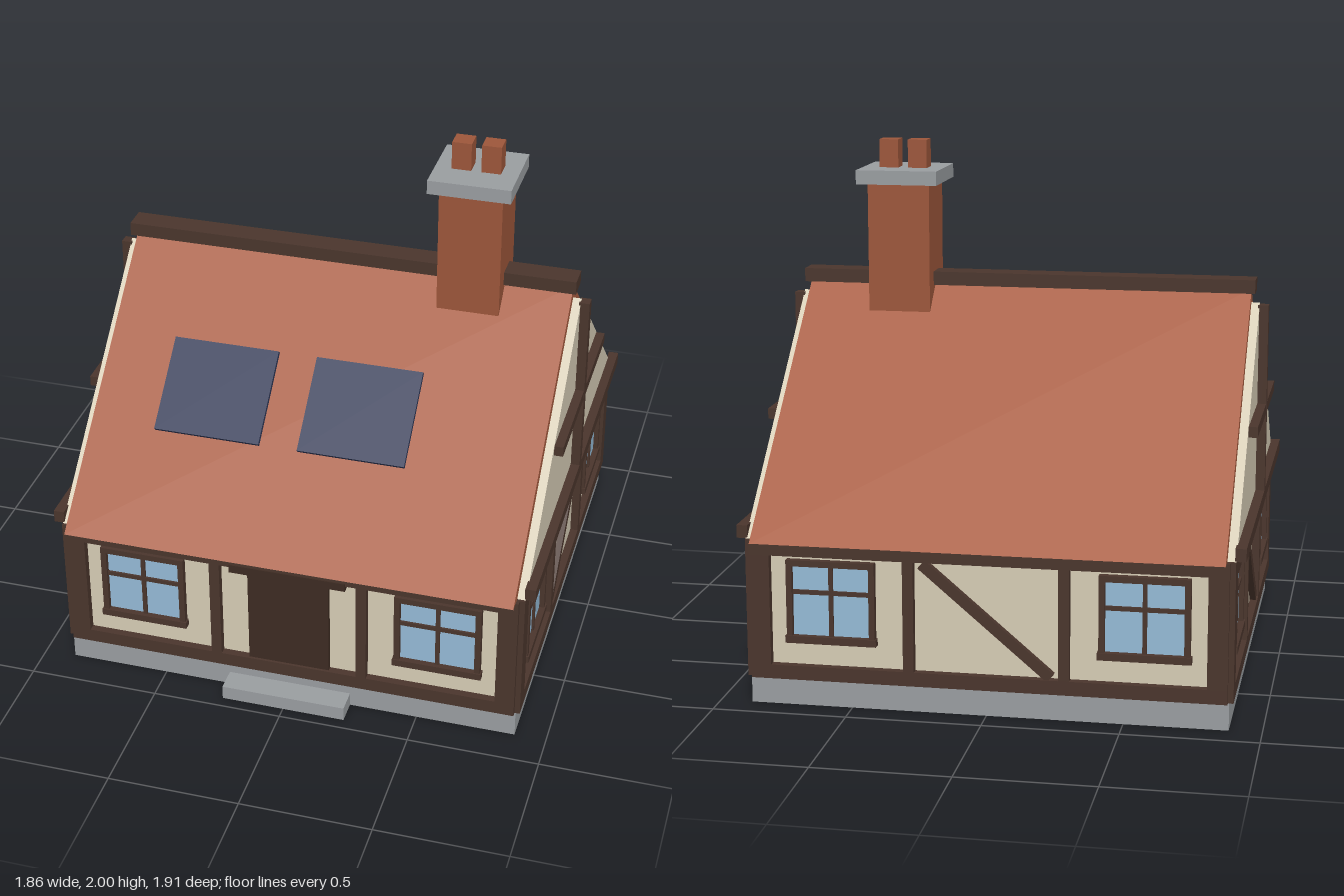
import * as THREE from 'three';

const mat = (name, color) => {
  const m = new THREE.MeshStandardMaterial({ color });
  m.name = name;
  return m;
};

export function createModel() {
  const plaster = mat('plaster', 0xd6ccb5);
  const timber = mat('timber', 0x4a352c);
  const doorWood = mat('door wood', 0x3d2b22);
  const tile = mat('roof tile', 0xa85d41);
  const brick = mat('brick', 0x9c563a);
  const stone = mat('stone', 0x999da0);
  const glass = mat('glass', 0x94bad6);
  const panel = mat('solar panel', 0x303857);

  const model = new THREE.Group();
  model.name = 'cottage';
  const house = new THREE.Group();
  house.name = 'house';
  house.position.z = -0.0175;
  model.add(house);

  // Box given by its low and high corners
  const box = (parent, name, material, [x0, x1], [y0, y1], [z0, z1]) => {
    const mesh = new THREE.Mesh(new THREE.BoxGeometry(x1 - x0, y1 - y0, z1 - z0), material);
    mesh.position.set((x0 + x1) / 2, (y0 + y1) / 2, (z0 + z1) / 2);
    mesh.name = name;
    parent.add(mesh);
    return mesh;
  };

  // Triangular prism along x
  const prism = (name, material, halfX, halfZ, base, apex) => {
    const s = new THREE.Shape();
    s.moveTo(-halfZ, base);
    s.lineTo(halfZ, base);
    s.lineTo(0, apex);
    const g = new THREE.ExtrudeGeometry(s, { depth: halfX * 2, bevelEnabled: false });
    g.translate(0, 0, -halfX);
    g.rotateY(Math.PI / 2);
    const mesh = new THREE.Mesh(g, material);
    mesh.name = name;
    house.add(mesh);
  };

  const W = 0.865; // half width of the walls
  const F = W + 0.03; // outer face of the timbers

  // Plinth, step and walls
  box(house, 'plinth', stone, [-0.88, 0.88], [0, 0.1], [-0.88, 0.88]);
  box(house, 'doorStep', stone, [-0.24, 0.24], [0, 0.055], [0.85, 0.9725]);
  box(house, 'walls', plaster, [-W, W], [0.1, 0.62], [-W, W]);

  // Window with sill, lintel and glazing bars
  const addWindow = (wall, cx) => {
    const g = new THREE.Group();
    g.name = 'window';
    g.position.x = cx;
    wall.add(g);
    box(g, 'pane', glass, [-0.15, 0.15], [0.25, 0.54], [W - 0.01, W + 0.006]);
    for (const s of [-1, 1])
      box(g, 'jamb', timber, [s * 0.154 - 0.011, s * 0.154 + 0.011], [0.26, 0.535], [W, W + 0.025]);
    box(g, 'sill', timber, [-0.17, 0.17], [0.24, 0.267], [W, W + 0.03]);
    box(g, 'head', timber, [-0.165, 0.165], [0.53, 0.553], [W, W + 0.025]);
    box(g, 'mullion', timber, [-0.008, 0.008], [0.265, 0.53], [W, W + 0.015]);
    box(g, 'transom', timber, [-0.145, 0.145], [0.423, 0.439], [W, W + 0.015]);
  };

  // Four framed walls: turn about y, and lean of the diagonal brace (0 = door)
  const walls = [
    ['frontWall', 0, 0], ['rightWall', Math.PI / 2, 1],
    ['backWall', Math.PI, -1], ['leftWall', -Math.PI / 2, -1],
  ];
  for (const [name, turn, lean] of walls) {
    const wall = new THREE.Group();
    wall.name = name;
    wall.rotation.y = turn;
    house.add(wall);
    box(wall, 'sillBeam', timber, [-0.875, 0.875], [0.1, 0.153], [W - 0.02, F]);
    box(wall, 'topBeam', timber, [-0.875, 0.875], [0.568, 0.62], [W - 0.02, F]);
    for (const s of [-1, 1]) {
      box(wall, 'cornerPost', timber, [s * 0.838 - 0.037, s * 0.838 + 0.037], [0.153, 0.568], [W - 0.02, F]);
      box(wall, 'post', timber, [s * 0.285 - 0.02, s * 0.285 + 0.02], [0.153, 0.568], [W - 0.02, F]);
      addWindow(wall, s * 0.575);
    }
    if (lean) {
      const brace = box(wall, 'brace', timber, [-0.31, 0.31], [0.34, 0.38], [W - 0.01, W + 0.024]);
      brace.rotation.z = lean * 0.705;
    } else {
      box(wall, 'door', doorWood, [-0.157, 0.157], [0.153, 0.55], [W, W + 0.02]);
      box(wall, 'doorLintel', doorWood, [-0.225, 0.225], [0.547, 0.58], [W, W + 0.034]);
    }
  }

  // Roof, gables and ridge
  prism('gables', plaster, 0.895, 0.865, 0.62, 1.4);
  prism('roof', tile, 0.863, 0.933, 0.62, 1.452);
  box(house, 'ridgeBeam', timber, [-0.88, 0.88], [1.44, 1.492], [-0.048, 0.048]);

  // Gable timbers on both ends
  for (const s of [-1, 1]) {
    const x = [s * 0.91 - 0.02, s * 0.91 + 0.02];
    box(house, 'tieBeam', timber, x, [0.62, 0.668], [-0.862, 0.862]);
    box(house, 'kingPost', timber, x, [0.668, 1.392], [-0.021, 0.021]);
    box(house, 'collarBeam', timber, [x[0] + 0.001, x[1] - 0.001], [0.97, 1.01], [-0.43, 0.43]);
  }

  // Chimney with cap and two pots
  box(house, 'chimneyStack', brick, [0.365, 0.605], [1.2, 1.84], [-0.12, 0.12]);
  box(house, 'chimneyCap', stone, [0.328, 0.642], [1.838, 1.892], [-0.157, 0.157]);
  for (const x of [0.428, 0.54])
    box(house, 'chimneyPot', brick, [x - 0.037, x + 0.037], [1.892, 2], [-0.037, 0.037]);

  // Solar panels just above the front slope
  for (const x of [-0.395, 0.167]) {
    const p = new THREE.Mesh(new THREE.BoxGeometry(0.412, 0.018, 0.37), panel);
    p.name = 'solarPanel';
    p.position.set(x, 1.063, 0.477);
    p.rotation.x = Math.atan2(0.832, 0.933);
    house.add(p);
  }

  return model;
}
